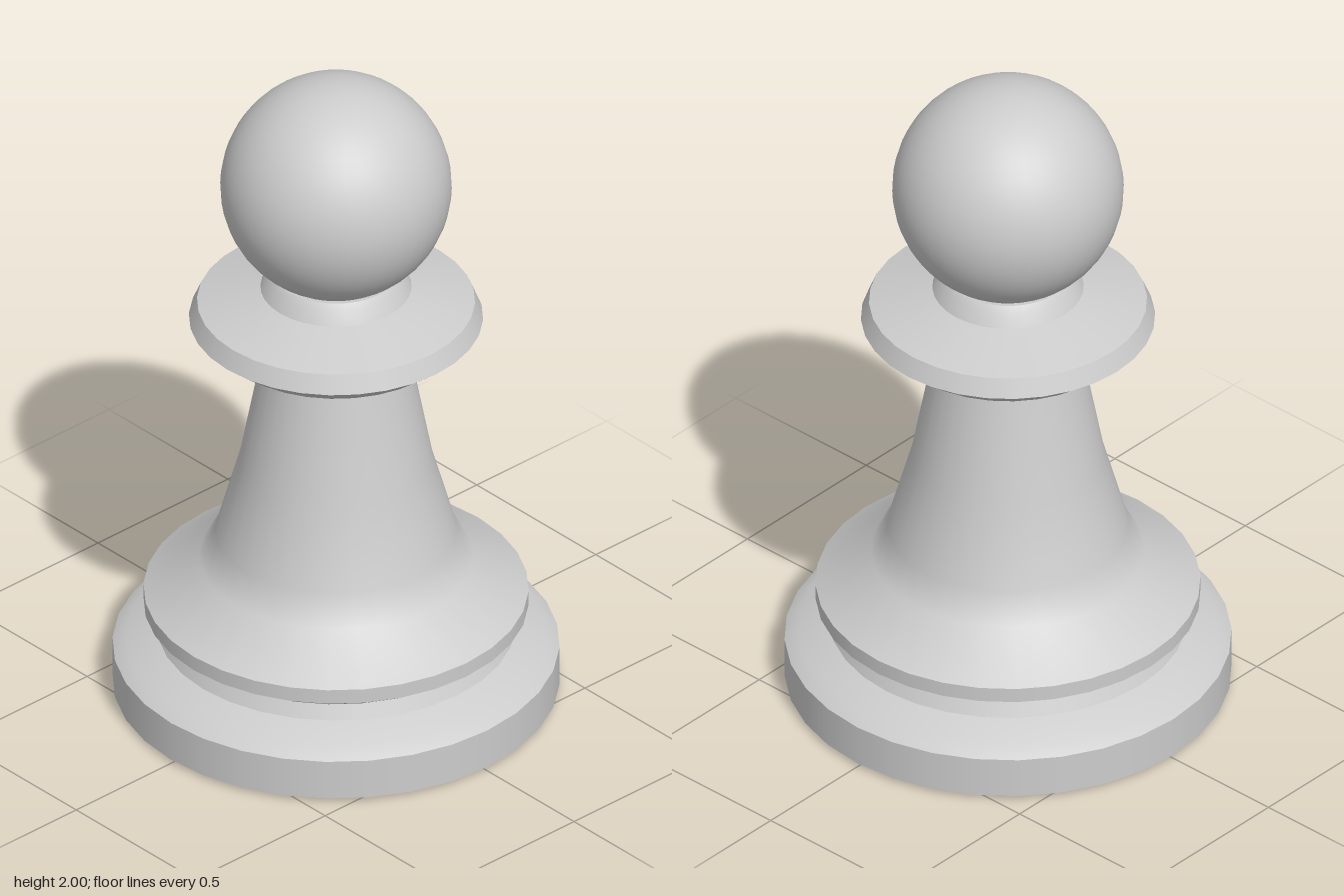
import * as THREE from 'three';

const SEGMENTS = 32;

export function createModel() {
  const group = new THREE.Group();
  const stone = new THREE.MeshStandardMaterial({ color: 0xcccccc });
  stone.name = 'light grey';

  // Each part is a stack of bands; a band is smooth inside, with a crisp edge to the next.
  function turnedPart(name, bands) {
    const part = new THREE.Group();
    part.name = name;
    bands.forEach((band, i) => {
      const points = band.map(([r, y]) => new THREE.Vector2(r, y));
      const mesh = new THREE.Mesh(new THREE.LatheGeometry(points, SEGMENTS), stone);
      mesh.name = `${name}Band${i + 1}`;
      part.add(mesh);
    });
    group.add(part);
  }

  // Wide foot with a rounded shoulder
  turnedPart('base', [
    [[0, 0], [0.595, 0]],
    [[0.595, 0], [0.635, 0.012]],
    [[0.635, 0.012], [0.635, 0.135]],
    [[0.635, 0.135], [0.595, 0.163], [0.51, 0.195]],
  ]);

  // Groove and flared ring above the foot
  turnedPart('lowerRing', [
    [[0.51, 0.195], [0.49, 0.237]],
    [[0.49, 0.237], [0.547, 0.275]],
    [[0.547, 0.275], [0.547, 0.32]],
  ]);

  // Concave tapering stem
  turnedPart('stem', [
    [[0.547, 0.32], [0.39, 0.425], [0.343, 0.515], [0.275, 0.76], [0.205, 1.13]],
  ]);

  // Collar under the head
  turnedPart('collar', [
    [[0.205, 1.13], [0.215, 1.13]],
    [[0.215, 1.13], [0.345, 1.172]],
    [[0.345, 1.172], [0.418, 1.23]],
    [[0.418, 1.23], [0.395, 1.285]],
    [[0.395, 1.285], [0.215, 1.332]],
  ]);

  // Short neck
  turnedPart('neck', [
    [[0.215, 1.332], [0.195, 1.37], [0.18, 1.387]],
    [[0.18, 1.387], [0.14, 1.387]],
  ]);

  // Ball head
  const head = new THREE.Mesh(new THREE.SphereGeometry(0.329, 40, 28), stone);
  head.name = 'head';
  head.position.y = 1.671;
  group.add(head);

  return group;
}
